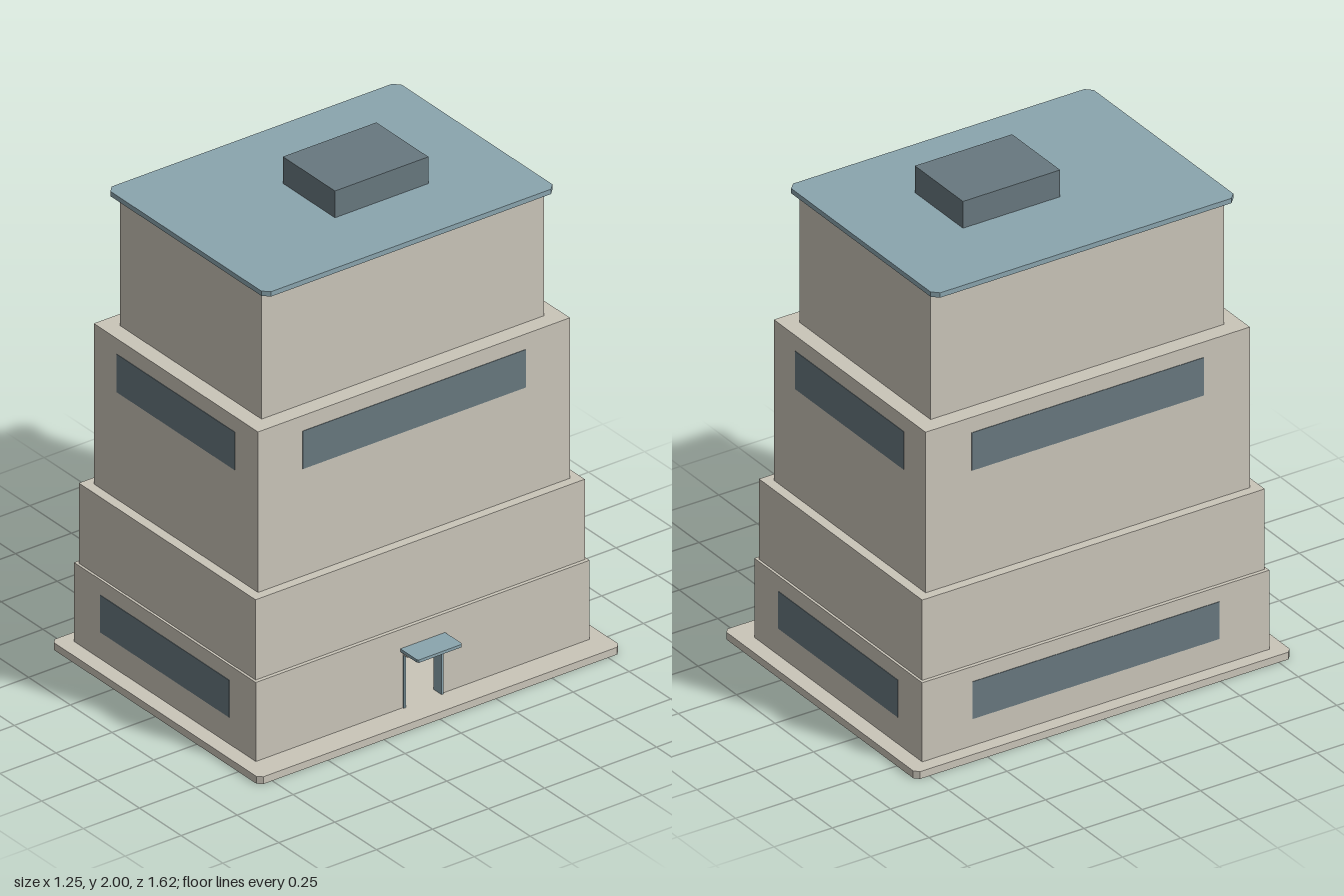
import * as THREE from 'three';

const CX = -0.025; // the tower sits slightly off the plinth centre

const paint = (name, color) => {
  const m = new THREE.MeshStandardMaterial({ color });
  m.name = name;
  return m;
};

export function createModel() {
  const concrete = paint('concrete', 0xcac5b9);
  const roofBlue = paint('roofBlue', 0x8aa5ae);
  const glass = paint('darkGlass', 0x68787f);
  const model = new THREE.Group();
  model.name = 'tower';

  const add = (name, geometry, material) => {
    const mesh = new THREE.Mesh(geometry, material);
    mesh.name = name;
    model.add(mesh);
    return mesh;
  };

  // Box given by its limits on each axis
  const box = (name, material, x0, x1, y0, y1, z0, z1) => {
    const mesh = add(name, new THREE.BoxGeometry(x1 - x0, y1 - y0, z1 - z0), material);
    mesh.position.set((x0 + x1) / 2, (y0 + y1) / 2, (z0 + z1) / 2);
  };

  // Plan outline raised from y0 to y1
  const raise = (name, material, points, y0, y1) => {
    const shape = new THREE.Shape(points.map(([x, z]) => new THREE.Vector2(x, -z)));
    const geometry = new THREE.ExtrudeGeometry(shape, { depth: y1 - y0, bevelEnabled: false });
    geometry.rotateX(-Math.PI / 2);
    add(name, geometry, material).position.y = y0;
  };

  // Flat slab with cut corners
  const slab = (name, material, x0, x1, z, y0, y1, c) => raise(name, material, [
    [x0 + c, z], [x1 - c, z], [x1, z - c], [x1, c - z],
    [x1 - c, -z], [x0 + c, -z], [x0, c - z], [x0, z - c],
  ], y0, y1);

  slab('plinth', concrete, -0.625, 0.625, 0.808, 0, 0.03, 0.018);

  // Ground floor: hollow walls with a doorway on the left side, closed above
  const hx = 0.545, hz = 0.745, wall = 0.04, door = 0.088;
  const x0 = CX - hx, x1 = CX + hx;
  raise('groundFloorWalls', concrete, [
    [x1, door], [x1, hz], [x0, hz], [x0, -hz], [x1, -hz], [x1, -door],
    [x1 - wall, -door], [x1 - wall, wall - hz], [x0 + wall, wall - hz],
    [x0 + wall, hz - wall], [x1 - wall, hz - wall], [x1 - wall, door],
  ], 0.03, 0.245);
  box('groundFloorTop', concrete, x0, x1, 0.245, 0.355, -hz, hz);

  // Upper floors step inward
  [
    ['secondTier', 0.53, 0.735, 0.355, 0.685],
    ['thirdTier', 0.4925, 0.696, 0.685, 1.345],
    ['topTier', 0.425, 0.63, 1.345, 1.87],
  ].forEach(([name, w, d, y0, y1]) => box(name, concrete, CX - w, CX + w, y0, y1, -d, d));

  // Roof and rooftop housing
  slab('roof', roofBlue, -0.505, 0.45, 0.65, 1.87, 1.89, 0.025);
  box('roofHousing', glass, -0.157, 0.155, 1.89, 2, -0.297, 0.12);

  // Ribbon windows: thin plates on the walls
  const t = 0.002;
  const ribbons = [
    { w: hx, d: hz, halfX: 0.388, halfZ: 0.53, y0: 0.14, y1: 0.293, sides: [-1] },
    { w: 0.4925, d: 0.696, halfX: 0.353, halfZ: 0.498, y0: 1.126, y1: 1.282, sides: [-1, 1] },
  ];
  for (const { w, d, halfX, halfZ, y0, y1, sides } of ribbons) {
    for (const s of [-1, 1]) {
      box('endWindow', glass, CX - halfX, CX + halfX, y0, y1, s * d - t, s * d + t);
    }
    for (const s of sides) {
      const x = CX + s * w;
      box('sideWindow', glass, x - t, x + t, y0, y1, -halfZ, halfZ);
    }
  }

  // Entrance: door posts, lintel and canopy
  for (const s of [-1, 1]) {
    const z = s * 0.084;
    box('doorPost', roofBlue, 0.478, 0.526, 0.03, 0.245, z - 0.005, z + 0.005);
  }
  box('lintel', concrete, 0.515, 0.545, 0.246, 0.264, -0.088, 0.088);
  slab('canopy', roofBlue, 0.515, 0.625, 0.1, 0.264, 0.276, 0.006);

  return model;
}
